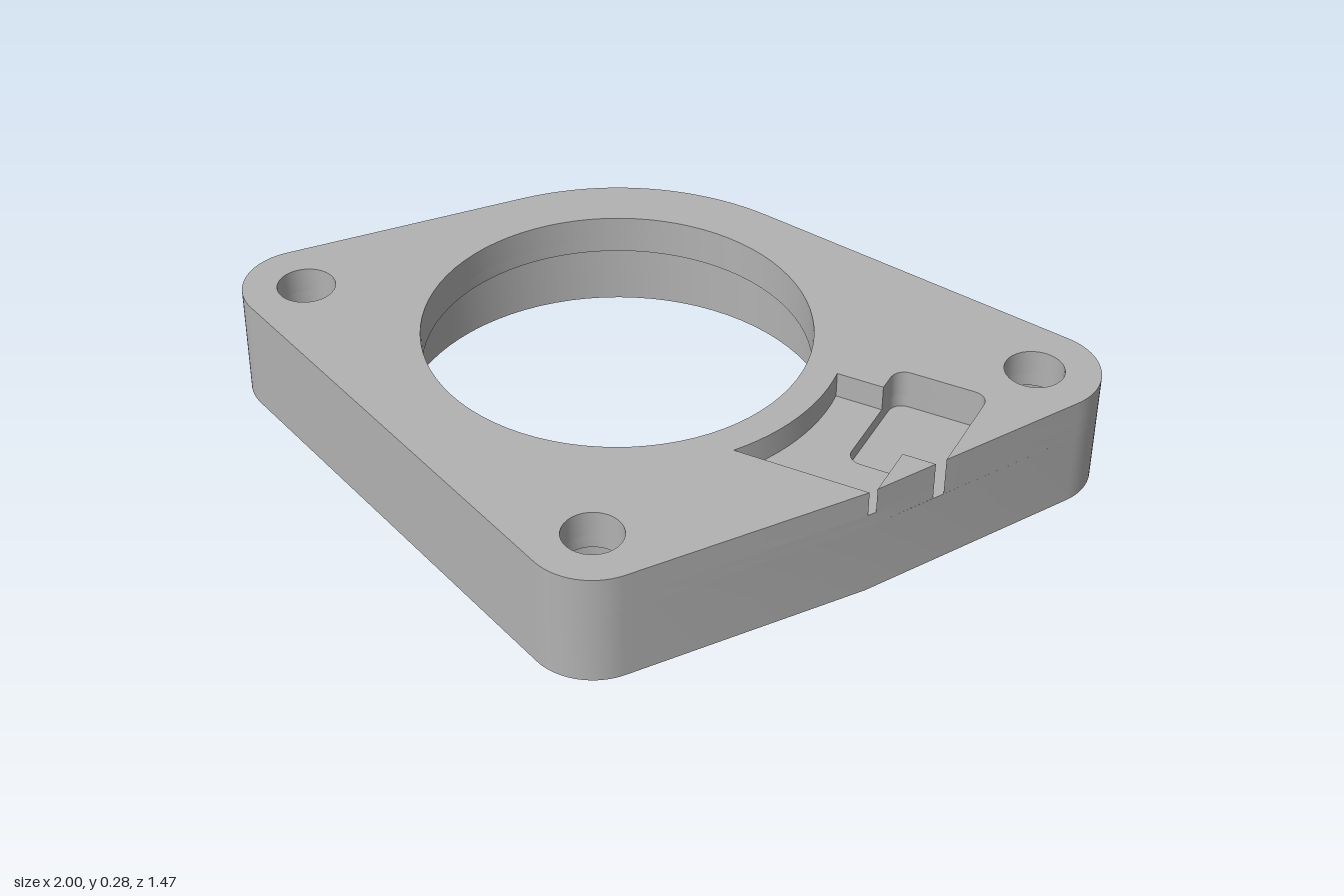
import * as THREE from 'three';
import { toCreasedNormals } from 'three/addons/utils/BufferGeometryUtils.js';

// Plan coordinates: x to the right, y towards the back (-z). Circles are [x, y, radius].
const BORE = [-0.097, 0.125];
const BOLTS = [[0.845, 0.415], [-0.845, -0.07], [0.21, -0.58]];
const RIM = 0.155;
const KINK = [0.687, -0.175, 0];

// Points along an arc, anticlockwise when b > a
function arc(cx, cy, r, a, b, n) {
  const points = [];
  for (let i = 0; i <= n; i++) {
    const t = a + (b - a) * i / n;
    points.push(new THREE.Vector2(cx + r * Math.cos(t), cy + r * Math.sin(t)));
  }
  return points;
}

const pt = (x, y) => new THREE.Vector2(x, y);

// Outer edge wrapped tightly round the corner bosses and the bore, without the kink on the right
function wrappedEdge() {
  const circles = [KINK, [...BOLTS[0], RIM], [...BORE, 0.61], [...BOLTS[1], RIM], [...BOLTS[2], RIM]];
  const normals = circles.map((c, i) => {
    const d = circles[(i + 1) % circles.length];
    const dx = d[0] - c[0], dy = d[1] - c[1];
    return Math.atan2(dy, dx) - Math.acos((c[2] - d[2]) / Math.hypot(dx, dy));
  });
  const points = [];
  for (let i = 1; i < circles.length; i++) {
    const a = normals[i - 1];
    let b = normals[i];
    while (b < a) b += Math.PI * 2;
    points.push(...arc(...circles[i], a, b, 20));
  }
  return points;
}

// One horizontal slice between two heights
function layer(name, points, holes, y0, y1, material) {
  const shape = new THREE.Shape(points);
  for (const [x, y, r] of holes) {
    shape.holes.push(new THREE.Path(arc(x, y, r, 0, Math.PI * 2, r > 0.3 ? 80 : 32).slice(0, -1)));
  }
  const geometry = new THREE.ExtrudeGeometry(shape, { depth: y1 - y0, bevelEnabled: false });
  geometry.rotateX(-Math.PI / 2);
  geometry.translate(0, y0, 0);
  const mesh = new THREE.Mesh(toCreasedNormals(geometry, 0.5), material);
  mesh.name = name;
  return mesh;
}

export function createModel() {
  const group = new THREE.Group();
  group.name = 'flangePlate';
  const metal = new THREE.MeshStandardMaterial({ color: 0xb2b2b2 });
  metal.name = 'grey metal';

  const edge = wrappedEdge();
  const wideHoles = [[...BORE, 0.53], ...BOLTS.map((b) => [...b, 0.128])];
  const narrowHoles = [[...BORE, 0.467], ...BOLTS.map((b) => [...b, 0.071])];

  // Back half of the rounded pocket, ending where it breaks through the rim
  const H = Math.PI / 2, r = 0.035;
  const pocketBack = [
    ...arc(0.56 + r, 0.27 - r, r, 2 * H, H, 6),
    ...arc(0.79 - r, 0.27 - r, r, H, 0, 6),
    pt(0.79, 0.006),
  ];
  const kink = pt(KINK[0], KINK[1]);

  // Lower body with wide counterbores; its top is the deep pocket floor
  group.add(layer('lowerBody', [kink, ...edge], wideHoles, 0, 0.187, metal));

  // Middle slice, cut by the deep pocket
  const deepNotch = [kink, pt(0.775, -0.02), ...arc(0.56 + r, -0.02 + r, r, 3 * H, 2 * H, 6), ...pocketBack];
  group.add(layer('pocketLayer', [...deepNotch, ...edge], narrowHoles, 0.187, 0.22, metal));

  // Top slice, cut by the shallow curved recess as well
  const fullNotch = [
    pt(0.684, -0.18),
    ...arc(...BORE, 0.545, -0.594, 0.12, 12),
    pt(0.56, 0.19),
    ...pocketBack,
  ];
  group.add(layer('topLayer', [...fullNotch, ...edge], narrowHoles, 0.22, 0.285, metal));

  // Small tab left standing on the rim between the two slots
  const tab = [pt(0.695, -0.161), pt(0.775, -0.02), pt(0.695, -0.02)];
  group.add(layer('rimTab', tab, [], 0.22, 0.285, metal));

  return group;
}
